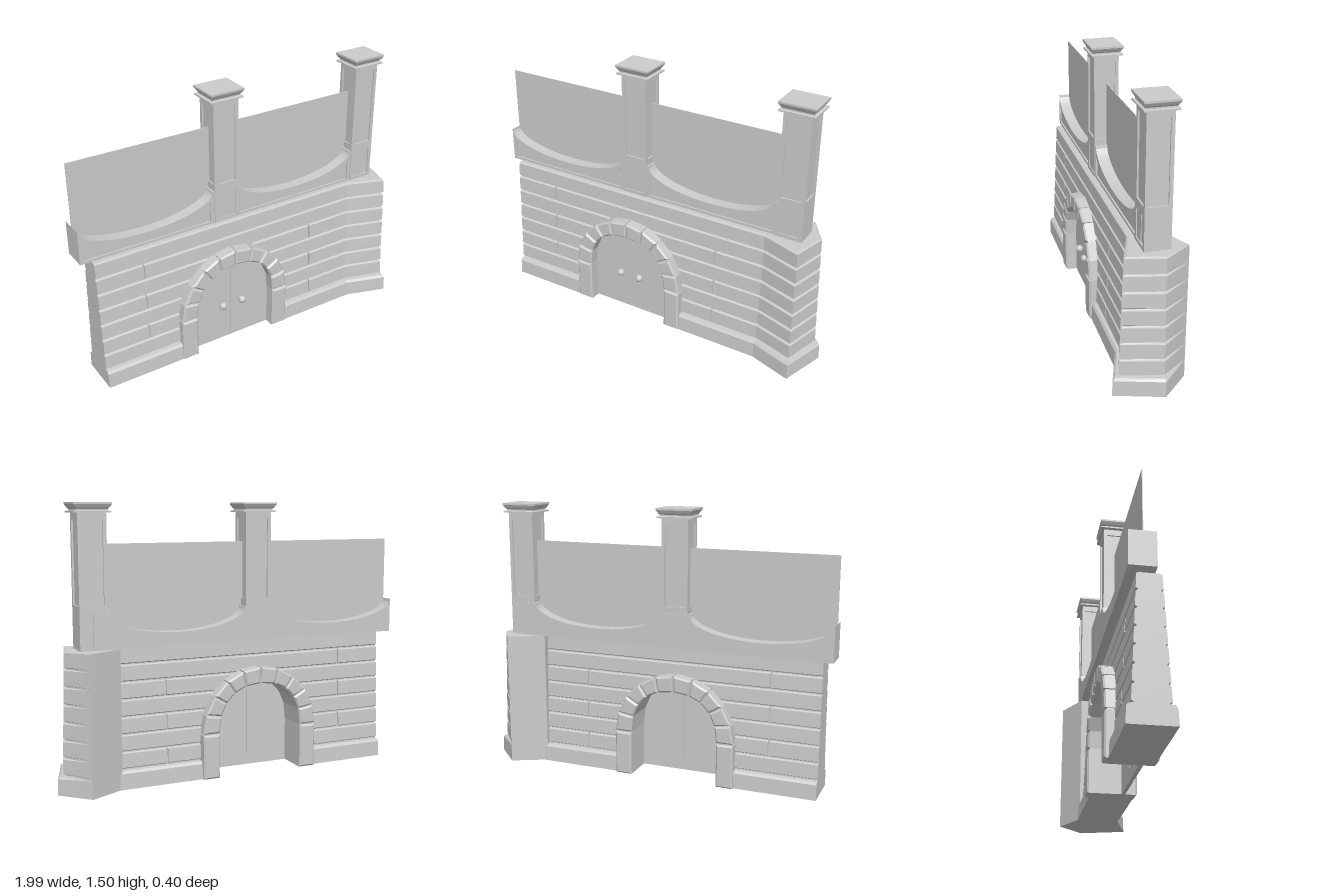
import * as THREE from 'three';

const mat = new THREE.MeshStandardMaterial({ color: 0xcccccc, flatShading: true });
const smooth = new THREE.MeshStandardMaterial({ color: 0xcccccc });
const CX = -0.14;      // centre line of the gate
const GROOVE = -0.012; // depth of the joints between courses

function add(parent, name, geo, x = 0, y = 0, z = 0, material = mat) {
  const m = new THREE.Mesh(geo, material);
  m.name = name;
  m.position.set(x, y, z);
  parent.add(m);
  return m;
}
const toShape = pts => new THREE.Shape(pts.map(p => new THREE.Vector2(p[0], p[1])));
const rect = (x0, y0, x1, y1) => [[x0, y0], [x1, y0], [x1, y1], [x0, y1]];
function slab(pts, z0, z1, holes = [], bevel = 0) {
  const s = toShape(pts);
  s.holes = holes.map(toShape);
  const g = new THREE.ExtrudeGeometry(s, {
    depth: z1 - z0 - 2 * bevel, bevelEnabled: bevel > 0, bevelSize: bevel,
    bevelThickness: bevel, bevelOffset: -bevel, bevelSegments: 1
  });
  return g.translate(0, 0, z0 + bevel);
}

// Height levels [y, outward offset] of the plinth and the seven courses
const plinth = [[0, 0.022], [0.085, 0.022], [0.098, 0.012], [0.1, GROOVE]];
const courses = Array.from({ length: 7 }, (_, i) => {
  const y0 = 0.1 + i * 0.0929, y1 = y0 + 0.0929;
  return [[y0, GROOVE], [y0 + 0.006, GROOVE], [y0 + 0.012, 0], [y1 - 0.006, 0], [y1, GROOVE]];
});
const wallZ = (y, e) => 0.102 - 0.05 * y + e;

// Battered wall section run along x
function wallBar(levels, x0, x1) {
  const front = levels.map(([y, e]) => [-wallZ(y, e), y]);
  const back = levels.map(([y, e]) => [wallZ(y, e) * 0.92, y]).reverse();
  return slab([...front, ...back].reverse(), 0, x1 - x0).rotateY(Math.PI / 2).translate(x0, 0, 0);
}

// Half-arch points, from right spring to left spring
const archPoint = (a, b, n, i) => {
  const t = Math.PI * i / 10, c = Math.cos(t), s = Math.sin(t);
  return [a * Math.sign(c) * Math.abs(c) ** (2 / n), 0.25 + b * Math.abs(s) ** (2 / n)];
};
const steps = Array.from({ length: 11 }, (_, i) => i);
const inner = i => archPoint(0.25, 0.26, 2.3, i);
const outer = i => archPoint(0.345, 0.35, 2, i);

function buildWall(root) {
  const wall = new THREE.Group();
  wall.name = 'wall';
  root.add(wall);
  const spans = w => w ? [[-0.94, CX - w], [CX + w, 0.7]] : [[-0.94, 0.7]];
  spans(0.3).forEach(([a, b]) => add(wall, 'plinth', wallBar(plinth, a, b)));
  const gateHalf = [0.3, 0.3, 0.29, 0.245, 0.147, 0, 0];
  courses.forEach((levels, i) => {
    const joint = i === 6 ? 9 : i % 2 ? -0.67 : 0.4;
    for (const [a, b] of spans(gateHalf[i])) {
      const mortar = [[levels[0][0], GROOVE], [levels[4][0], GROOVE]];
      add(wall, 'mortarBed', wallBar(mortar, a + 0.001, b - 0.001));
      const parts = joint > a && joint < b ? [[a, joint - 0.005], [joint + 0.005, b]] : [[a, b]];
      for (const [p, q] of parts) add(wall, 'stoneCourse', wallBar(levels, p, q));
    }
  });
}

// Angled corner bastion lofted through rings
function buildBastion(root) {
  const levels = [...plinth, ...courses.flat()];
  const ring = ([y, e]) => [
    [0.68, y, wallZ(y, e)],
    [0.907 - 0.016 * y + 0.4 * e, y, 0.169 - 0.037 * y + 1.4 * e],
    [0.968 - 0.03 * y + 1.2 * e, y, -0.055],
    [0.85, y, -0.2],
    [0.66, y, -0.105]
  ];
  const rings = levels.map(ring), pos = [];
  const tri = (...v) => v.forEach(p => pos.push(...p));
  for (let k = 0; k + 1 < rings.length; k++) {
    for (let i = 0; i < 5; i++) {
      const j = (i + 1) % 5, lo = rings[k], hi = rings[k + 1];
      tri(lo[i], lo[j], hi[j]);
      tri(lo[i], hi[j], hi[i]);
    }
  }
  const top = rings[rings.length - 1], bottom = rings[0];
  for (let i = 1; i < 4; i++) {
    tri(top[0], top[i], top[i + 1]);
    tri(bottom[0], bottom[i + 1], bottom[i]);
  }
  const g = new THREE.BufferGeometry();
  g.setAttribute('position', new THREE.Float32BufferAttribute(pos, 3));
  g.computeVertexNormals();
  add(root, 'cornerBastion', g);
}

function buildGate(root) {
  const gate = new THREE.Group();
  gate.name = 'gate';
  gate.position.x = CX;
  root.add(gate);
  // Lining of the passage
  const out = steps.map(i => outer(i).map((v, k) => k ? v - 0.006 : v * 0.98));
  const lining = [[0.338, 0], ...out, [-0.338, 0], [-0.25, 0], ...steps.map(inner).reverse(), [0.25, 0]];
  add(gate, 'archLining', slab(lining, -0.122, 0.122));
  // Jambs and arch stones on both faces
  const stones = steps.slice(0, 10).map(i => {
    const mix = (p, q, t) => [p[0] + (q[0] - p[0]) * t, p[1] + (q[1] - p[1]) * t];
    const [a, b, c, d] = [inner(i), outer(i), outer(i + 1), inner(i + 1)];
    return [mix(a, d, 0.03), mix(b, c, 0.03), mix(b, c, 0.97), mix(a, d, 0.97)];
  });
  stones.push(rect(0.25, 0, 0.345, 0.245), rect(-0.345, 0, -0.25, 0.245));
  for (const z of [0.06, -0.136])
    for (const s of stones) add(gate, 'archStone', slab(s, z, z + 0.076, [], 0.009));
  // Two leaves with knobs
  for (const side of [1, -1]) {
    const half = steps.slice(0, 6).map(i => [Math.max(inner(i)[0], 0.0015), inner(i)[1]]);
    const pts = [[0.0015, 0], [0.25, 0], ...half].map(([x, y]) => [x * side, y]);
    add(gate, 'doorLeaf', slab(pts, 0.05, 0.07));
    add(gate, 'doorKnob', new THREE.SphereGeometry(0.022, 20, 14), side * 0.063, 0.235, 0.094, smooth);
    add(gate, 'knobStem', new THREE.CylinderGeometry(0.006, 0.006, 0.05, 10).rotateX(Math.PI / 2),
      side * 0.063, 0.235, 0.068, smooth);
  }
  add(gate, 'doorSeam', new THREE.BoxGeometry(0.012, 0.508, 0.006), 0, 0.254, 0.06);
}

// Sagging curve between two ends
function sag(x0, x1, yEnd, yMin) {
  const n = 24;
  return Array.from({ length: n + 1 }, (_, i) => {
    const t = Math.PI * i / n;
    return [(x0 + x1) / 2 - (x1 - x0) / 2 * Math.cos(t), yEnd - (yEnd - yMin) * Math.sin(t)];
  });
}

function buildParapet(root) {
  const outline = [[-1, 0.75], [0.8, 0.75], [0.8, 0.94],
    ...sag(-0.05, 0.71, 0.94, 0.822).reverse(), ...sag(-1, -0.22, 0.94, 0.822).reverse()];
  const panels = [[-0.98, -0.235], [-0.045, 0.7]].map(([a, b]) =>
    [[a, 0.765], [b, 0.765], ...sag(a, b, 0.89, 0.804).reverse()]);
  add(root, 'parapet', slab(outline, -0.108, 0.021));
  add(root, 'parapetPanelFrame', slab(outline, 0.021, 0.03, panels));
  add(root, 'screen', new THREE.BoxGeometry(1.74, 0.49, 0.004), -0.13, 1.045, -0.037);
}

function buildPillar(root, x) {
  const pillar = new THREE.Group();
  pillar.name = 'pillar';
  pillar.position.set(x, 0, -0.033);
  root.add(pillar);
  const hx = 0.075, hz = 0.068, d = 0.009;
  add(pillar, 'pillarCore', new THREE.BoxGeometry(2 * (hx - d), 0.7, 2 * (hz - d)), 0, 1.1, 0);
  // Framed panels on the four sides
  for (let k = 0; k < 4; k++) {
    const w = k % 2 ? hz : hx, reach = k % 2 ? hx : hz, p = w - 0.019;
    const holes = [rect(-p, 0.978, p, 1.412)];
    if (k === 0) holes.push(rect(-p, 0.77, p, 0.927));
    const g = slab(rect(-w, 0.75, w, 1.45), reach - d, reach, holes);
    add(pillar, 'pillarPanelFrame', g).rotation.y = k * Math.PI / 2;
  }
  // Square moulded cap
  const profile = [[0, 1.448], [0.097, 1.448], [0.097, 1.456], [0.083, 1.459], [0.083, 1.466],
    [0.09, 1.474], [0.1, 1.49], [0.1, 1.5], [0, 1.5]];
  const cap = new THREE.LatheGeometry(profile.map(([r, y]) => new THREE.Vector2(r * Math.SQRT2, y)), 4);
  cap.rotateY(Math.PI / 4).scale(1, 1, 0.88);
  add(pillar, 'pillarCap', cap);
}

export function createModel() {
  const root = new THREE.Group();
  root.name = 'gateWall';
  buildWall(root);
  buildBastion(root);
  buildGate(root);
  buildParapet(root);
  [-0.135, 0.795].forEach(x => buildPillar(root, x));
  return root;
}
